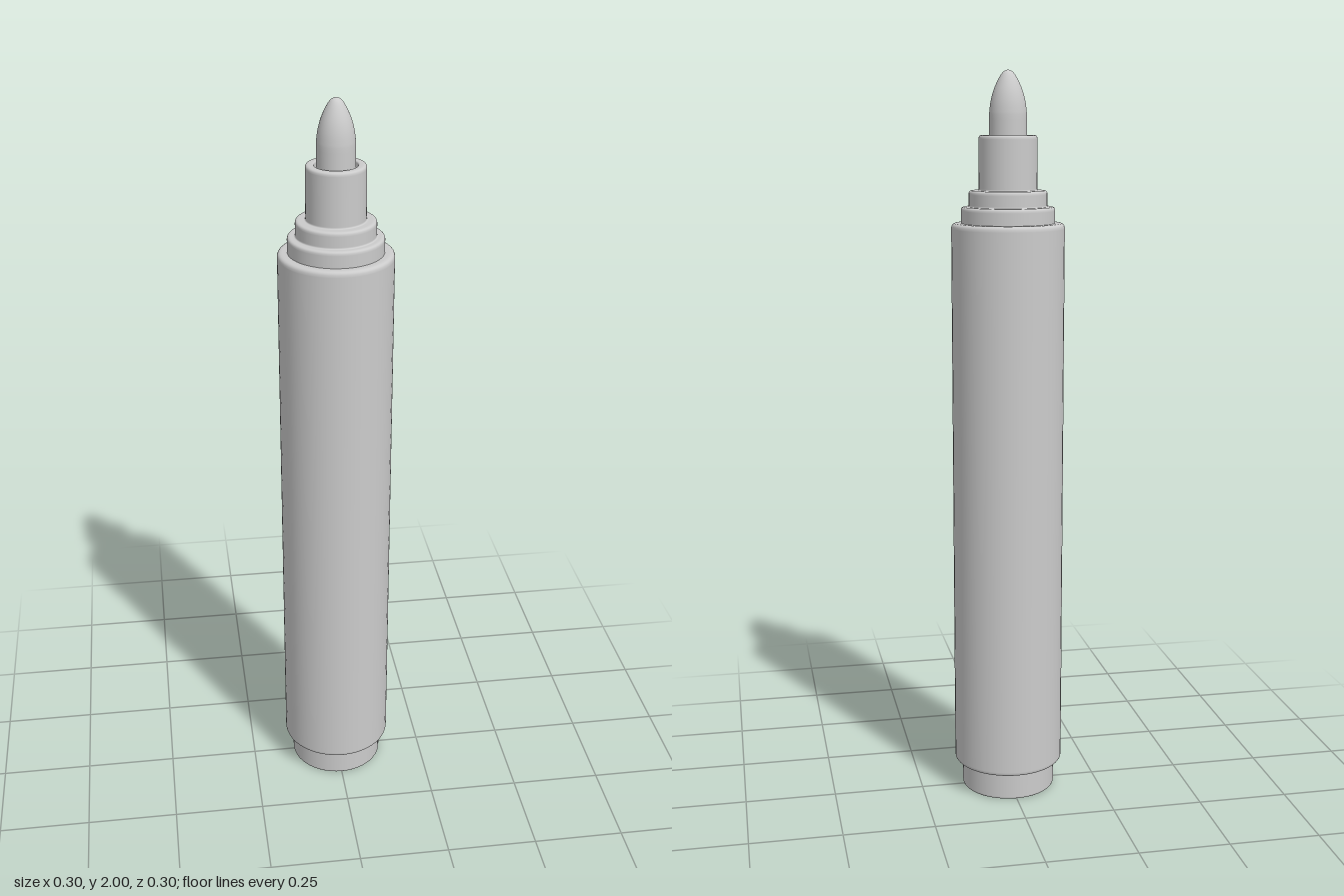
import * as THREE from 'three';

const SEGMENTS = 48;
const material = new THREE.MeshStandardMaterial({ color: 0xcccccc, side: THREE.DoubleSide });

// Profile through [radius, height, fillet] corners; support points keep the walls flat
function roundedProfile(corners) {
  const points = [];
  corners.forEach(([x, y, fillet = 0], i) => {
    const corner = new THREE.Vector2(x, y);
    if (!fillet) {
      points.push(corner);
      return;
    }
    const toward = ([px, py], d) =>
      corner.clone().add(new THREE.Vector2(px, py).sub(corner).setLength(d));
    const prev = corners[i - 1], next = corners[i + 1];
    points.push(toward(prev, fillet * 1.15));
    const curve = new THREE.QuadraticBezierCurve(toward(prev, fillet), corner, toward(next, fillet));
    points.push(...curve.getPoints(5));
    points.push(toward(next, fillet * 1.15));
  });
  return points;
}

function turned(name, points) {
  const mesh = new THREE.Mesh(new THREE.LatheGeometry(points, SEGMENTS), material);
  mesh.name = name;
  return mesh;
}

export function createModel() {
  const group = new THREE.Group();
  group.name = 'markerPen';

  // Plug closing the bottom end
  group.add(turned('endPlug', roundedProfile([
    [0, 0], [0.13, 0, 0.006], [0.13, 0.09],
  ])));

  // Main barrel
  group.add(turned('barrel', roundedProfile([
    [0.12, 0.078], [0.152, 0.078, 0.01], [0.152, 1.602, 0.013], [0.11, 1.602],
  ])));

  // Stepped collar, narrow neck and the socket holding the nib
  group.add(turned('collar', roundedProfile([
    [0.126, 1.595], [0.126, 1.645, 0.009], [0.105, 1.645, 0.004],
    [0.105, 1.688, 0.009], [0.078, 1.688, 0.004],
    [0.078, 1.832, 0.009], [0.056, 1.832, 0.005], [0.056, 1.78], [0, 1.78],
  ])));

  // Bullet nib
  const tip = new THREE.SplineCurve([
    [0.05, 1.885], [0.0465, 1.915], [0.039, 1.945], [0.027, 1.973], [0.014, 1.993], [0, 2],
  ].map(([x, y]) => new THREE.Vector2(x, y)));
  group.add(turned('nib', [
    new THREE.Vector2(0.05, 1.78), new THREE.Vector2(0.05, 1.87), ...tip.getPoints(16),
  ]));

  return group;
}
